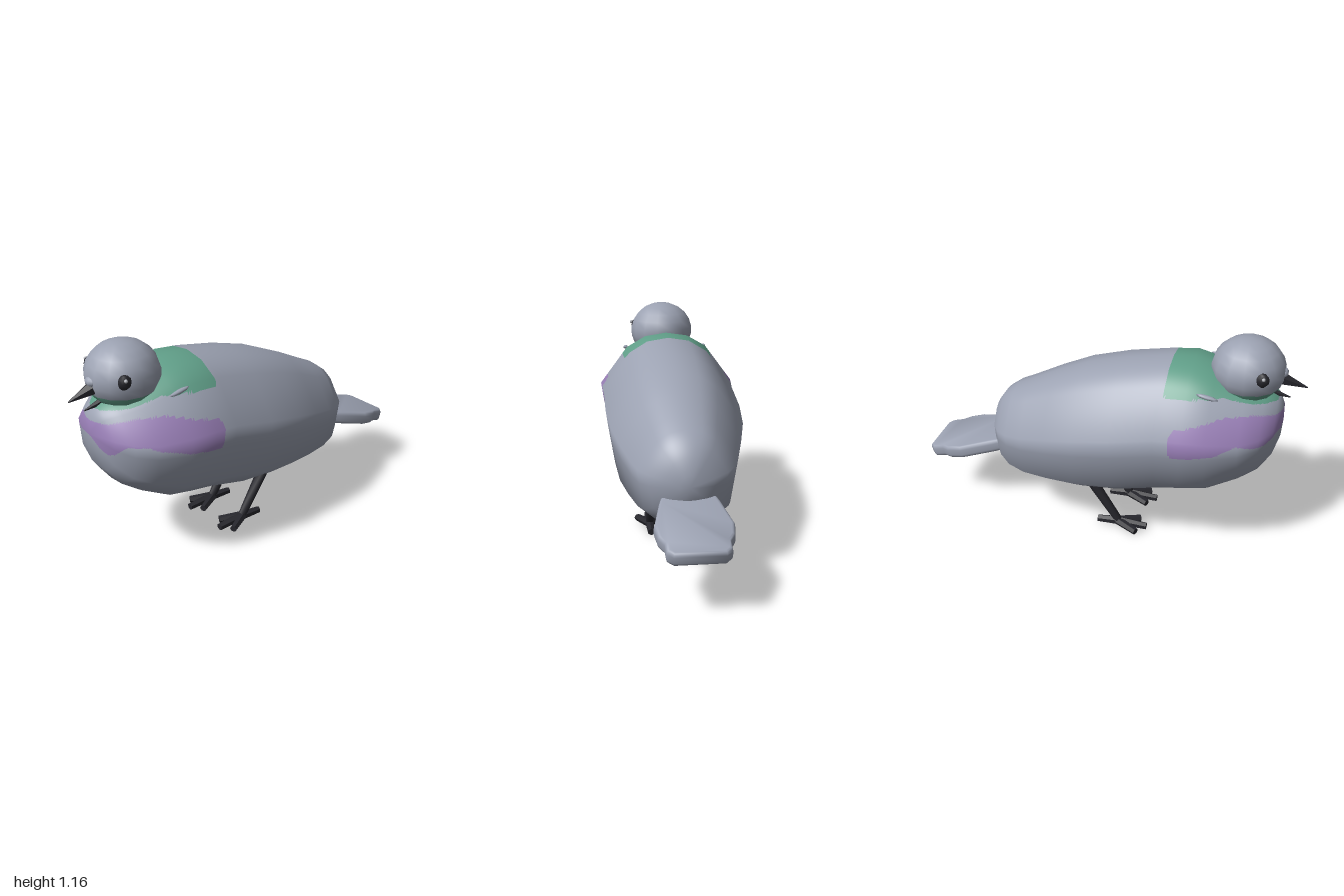
import * as THREE from 'three';
import { toCreasedNormals } from 'three/addons/utils/BufferGeometryUtils.js';

const paint = (name, color) => Object.assign(new THREE.MeshStandardMaterial({ color }), { name });

// Straight-line interpolation through [x, y] points
function polyline(points, x) {
  if (x <= points[0][0]) return points[0][1];
  for (let i = 1; i < points.length; i++) {
    const [x0, y0] = points[i - 1], [x1, y1] = points[i];
    if (x <= x1) return y0 + (y1 - y0) * (x - x0) / (x1 - x0);
  }
  return points[points.length - 1][1];
}

// Body stations from breast to rump: z, top, bottom, half width
const STATIONS = [
  [0.905, 0.74, 0.74, 0], [0.9, 0.82, 0.66, 0.08], [0.87, 0.875, 0.56, 0.16], [0.81, 0.91, 0.475, 0.235],
  [0.72, 0.94, 0.415, 0.3], [0.57, 1.0, 0.335, 0.345], [0.45, 1.027, 0.315, 0.37], [0.32, 1.015, 0.29, 0.357],
  [0.1, 0.972, 0.237, 0.36], [-0.1, 0.915, 0.215, 0.343], [-0.26, 0.845, 0.21, 0.305], [-0.4, 0.775, 0.212, 0.263],
  [-0.49, 0.732, 0.245, 0.235], [-0.55, 0.69, 0.29, 0.19], [-0.595, 0.625, 0.36, 0.12],
  [-0.62, 0.55, 0.43, 0.05], [-0.623, 0.49, 0.49, 0],
];
// Half cross-section from spine to belly: share of width, share of height
const HALF = [[0, 1], [0.32, 0.975], [0.6, 0.89], [1, 0.61], [0.96, 0.47], [0.87, 0.2], [0.4, 0.02], [0, 0]];

// Breast band edges: bearing in degrees, height
const BAND_LOW = [[-75, 0.64], [-60, 0.65], [-45, 0.67], [-36, 0.73], [-28, 0.7], [-20, 0.695], [-13, 0.73],
  [-7, 0.74], [0, 0.735], [6, 0.7], [11, 0.67], [15, 0.685], [21, 0.73], [30, 0.73], [37, 0.7], [50, 0.66], [75, 0.64]];
const BAND_HIGH = [[0, 0.815], [10, 0.82], [22, 0.845], [35, 0.845], [55, 0.81], [75, 0.79]];
const NECK_LOW = [[0.34, 0.91], [0.62, 0.92], [0.75, 0.885], [0.88, 0.868]];

// 0 plain, 1 neck patch, 2 breast band
function bodyColour({ x, y, z }) {
  const bearing = Math.atan2(x, z - 0.3) * 180 / Math.PI;
  const end = 0.395 + 0.6 * Math.max(0, Math.abs(y - 0.715) - 0.045);
  if (z > end && y > polyline(BAND_LOW, bearing) && y < polyline(BAND_HIGH, Math.abs(bearing))) return 2;
  if (z > 0.34 && Math.abs(x) < 0.26 && y > polyline(NECK_LOW, z)) return 1;
  return 0;
}

function bodyGeometry() {
  const ring = [...HALF, ...HALF.slice(1, -1).reverse().map(([x, y]) => [-x, y])];
  const n = ring.length, rows = STATIONS.length, sub = 12;

  // Coarse cage gives the smooth normals
  const pos = [], cageIndex = [];
  STATIONS.forEach(([z, top, bottom, w], i) => ring.forEach(([x, t], j) => {
    pos.push(x * w, bottom + t * (top - bottom), z);
    if (i === rows - 1) return;
    const a = i * n + j, b = i * n + (j + 1) % n;
    cageIndex.push(a, b, a + n, b, b + n, a + n);
  }));
  const cage = new THREE.BufferGeometry();
  cage.setAttribute('position', new THREE.Float32BufferAttribute(pos, 3));
  cage.setIndex(cageIndex);
  cage.computeVertexNormals();
  for (let j = 0; j < n; j++) {
    cage.attributes.normal.setXYZ(j, 0, 0, 1);
    cage.attributes.normal.setXYZ((rows - 1) * n + j, 0, 0, -1);
  }

  // Fine grid over the cage so the plumage edges stay crisp
  const across = n * sub, along = (rows - 1) * sub;
  const sample = (name, r, c) => {
    const i = Math.min(Math.floor(r / sub), rows - 2), j = Math.floor(c / sub) % n;
    const u = r / sub - i, v = (c % sub) / sub, k = (j + 1) % n;
    const get = (p, q) => new THREE.Vector3().fromBufferAttribute(cage.attributes[name], p * n + q);
    return get(i, j).lerp(get(i, k), v).lerp(get(i + 1, j).lerp(get(i + 1, k), v), u);
  };
  const points = [], normals = [], faces = [[], [], []];
  for (let r = 0; r <= along; r++) for (let c = 0; c < across; c++) {
    points.push(sample('position', r, c));
    normals.push(sample('normal', r, c).normalize());
  }
  const addFace = (a, b, c) => {
    const mid = points[a].clone().add(points[b]).add(points[c]).divideScalar(3);
    faces[bodyColour(mid)].push(a, b, c);
  };
  for (let r = 0; r < along; r++) for (let c = 0; c < across; c++) {
    const a = r * across + c, b = r * across + (c + 1) % across;
    addFace(a, b, a + across);
    addFace(b, b + across, a + across);
  }
  const geo = new THREE.BufferGeometry().setFromPoints(points);
  geo.setAttribute('normal', new THREE.Float32BufferAttribute(normals.flatMap(v => v.toArray()), 3));
  geo.setIndex(faces.flat());
  let start = 0;
  faces.forEach((f, m) => { geo.addGroup(start, f.length, m); start += f.length; });
  return geo;
}

export function createModel() {
  const model = new THREE.Group();
  model.name = 'bird';
  const plumage = paint('grey plumage', 0x9ca2b2);
  const green = paint('green neck', 0x609e88);
  const purple = paint('purple breast', 0x9a80b8);
  const dark = paint('dark horn', 0x27272d);
  const glint = paint('eye glint', 0xb4b6bc);

  const add = (name, geo, mat, parent = model) => {
    const mesh = new THREE.Mesh(geo, mat);
    mesh.name = name;
    parent.add(mesh);
    return mesh;
  };
  const ball = (name, mat, at, scale, w = 10, h = 8) => {
    const mesh = add(name, new THREE.SphereGeometry(1, w, h), mat);
    mesh.position.set(...at);
    mesh.scale.set(...scale);
    return mesh;
  };
  // Tapered rod from a to b
  const rod = (name, a, b, ra, rb, mat, parent = model, sides = 8) => {
    const from = new THREE.Vector3(...a), to = new THREE.Vector3(...b), dir = to.clone().sub(from);
    const geo = new THREE.CylinderGeometry(rb, ra, dir.length(), sides);
    const mesh = add(name, toCreasedNormals(geo, 1), mat, parent);
    mesh.position.copy(from).add(to).multiplyScalar(0.5);
    mesh.quaternion.setFromUnitVectors(new THREE.Vector3(0, 1, 0), dir.normalize());
    return mesh;
  };

  add('body', bodyGeometry(), [plumage, green, purple]);

  // Head with a green throat
  const split = 2.02;
  const headParts = [['head', plumage, 0, split, 7], ['throat', green, split, Math.PI - split, 4]];
  for (const [name, mat, start, length, rows] of headParts) {
    const mesh = add(name, new THREE.SphereGeometry(1, 14, rows, 0, Math.PI * 2, start, length), mat);
    mesh.position.set(0, 1.0, 0.71);
    mesh.scale.set(0.178, 0.162, 0.182);
  }

  // Beak
  ball('cere', plumage, [0, 1.0, 0.873], [0.036, 0.026, 0.03]);
  rod('upperBeak', [0, 0.968, 0.865], [0, 0.933, 1.0], 0.037, 0.003, dark, model, 6);
  rod('lowerBeak', [0, 0.888, 0.83], [0, 0.868, 0.925], 0.02, 0.003, dark, model, 6);

  // Tail: a flat fan sloping down behind
  const fan = new THREE.Shape([[-0.1, -0.06], [0.1, -0.06], [0.13, 0.04], [0.168, 0.21], [0.157, 0.285], [0.132, 0.33],
    [0.13, 0.385], [0.11, 0.405], [-0.11, 0.405], [-0.13, 0.385], [-0.132, 0.33], [-0.157, 0.285],
    [-0.168, 0.21], [-0.13, 0.04]].map(p => new THREE.Vector2(...p)));
  const fanGeo = new THREE.ExtrudeGeometry(fan, {
    depth: 0.03, bevelEnabled: true, bevelThickness: 0.02, bevelSize: 0.016, bevelSegments: 3,
  });
  fanGeo.translate(0, 0, -0.015);
  const tail = add('tail', toCreasedNormals(fanGeo, 0.9), plumage);
  tail.position.set(0, 0.4, -0.575);
  tail.rotation.x = -Math.PI / 2 - 0.256;

  for (const [side, s] of [['left', 1], ['right', -1]]) {
    ball(side + 'Eye', dark, [s * 0.145, 1.02, 0.79], [0.026, 0.037, 0.036], 8, 6);
    ball(side + 'EyeGlint', glint, [s * 0.171, 1.037, 0.8], [0.009, 0.009, 0.009], 8, 6);

    // Small raised feather on the shoulder
    const tuft = ball(side + 'ShoulderFeather', plumage, [s * 0.222, 0.932, 0.55], [0.013, 0.011, 0.055], 8, 6);
    tuft.rotation.x = 0.18;

    // Leg and foot
    const leg = new THREE.Group();
    leg.name = side + 'Leg';
    leg.position.x = s * 0.13;
    model.add(leg);
    rod('shank', [0, 0.25, -0.04], [0, 0.025, 0.105], 0.029, 0.021, dark, leg);
    const toes = [['middleToe', 0, 0.255], ['innerToe', -s * 0.06, 0.21], ['outerToe', s * 0.06, 0.21], ['backToe', 0, -0.015]];
    for (const [name, x, z] of toes) {
      rod(name, [0, 0.028, 0.095], [x, 0.02, z], 0.024, 0.019, dark, leg, 6);
    }
  }
  return model;
}
